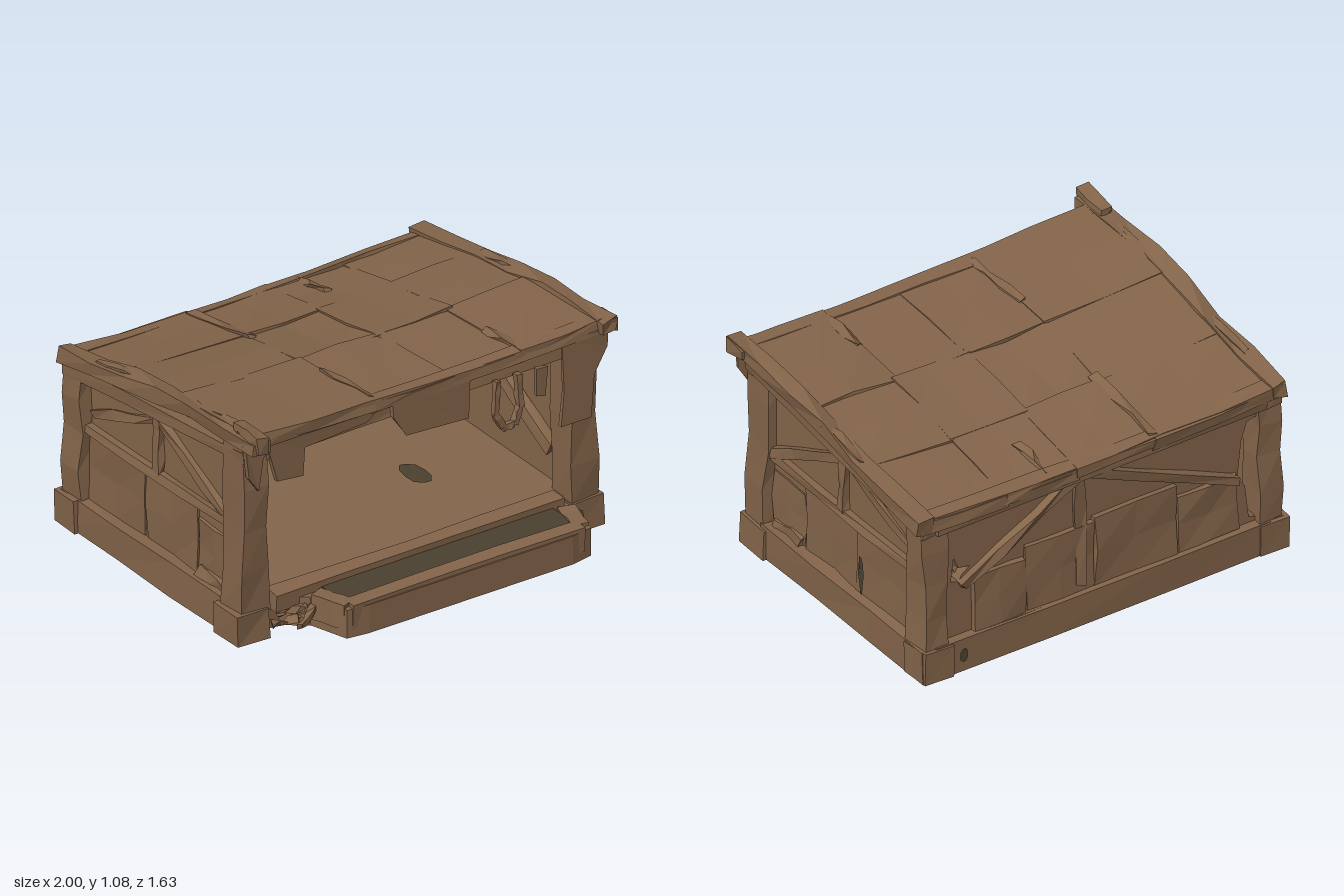
import * as THREE from 'three';

const wood = new THREE.MeshStandardMaterial({ color: 0x84654a });
wood.name = 'worn brown wood';
const moss = new THREE.MeshStandardMaterial({ color: 0x4b4130, side: THREE.DoubleSide });
moss.name = 'dark stain';

const V = (x, y, z) => new THREE.Vector3(x, y, z);

// Repeatable wobble in -1..1, the same for corners at the same place
function wobble(p, k) {
  const s = Math.sin(Math.round(p.x * 500) * 12.99 + Math.round(p.y * 500) * 78.23 + Math.round(p.z * 500) * 37.72 + k * 5.1) * 43758.5;
  return (s - Math.floor(s)) * 2 - 1;
}

// Moves vertices by a rule, roughens them and gives faceted normals
function rough(geo, amount, rule) {
  const pos = geo.attributes.position, p = V(0, 0, 0);
  for (let i = 0; i < pos.count; i++) {
    p.fromBufferAttribute(pos, i);
    if (rule) rule(p);
    const q = p.clone();
    p.set(q.x + wobble(q, 1) * amount, q.y + wobble(q, 2) * amount, q.z + wobble(q, 3) * amount);
    if (p.y < 0.02) p.y = 0;
    pos.setXYZ(i, p.x, p.y, p.z);
  }
  const flat = geo.index ? geo.toNonIndexed() : geo;
  flat.computeVertexNormals();
  return flat;
}

// Height of the roof's top surface, sagging towards the middle
const roofY = (x, z) => 1.005 + (z - 0.1) * (z > 0.1 ? 0.06 : 0.175) - 0.03 * (1 - x * x);

export function createModel() {
  const model = new THREE.Group();
  model.name = 'shelter';

  const add = (name, geo, mat = wood) => {
    const m = new THREE.Mesh(geo, mat);
    m.name = name;
    model.add(m);
    return m;
  };

  // Rough block between two corners
  const block = (name, x0, x1, y0, y1, z0, z1, amount = 0.008, seg = [1, 1, 1], rule) => {
    const g = new THREE.BoxGeometry(x1 - x0, y1 - y0, z1 - z0, ...seg);
    g.translate((x0 + x1) / 2, (y0 + y1) / 2, (z0 + z1) / 2);
    return add(name, rough(g, amount, rule));
  };

  // Rough beam from a to b, w sideways and h upwards
  const beam = (name, a, b, w, h, amount = 0.008) => {
    const dir = b.clone().sub(a), len = dir.length();
    dir.normalize();
    const up = Math.abs(dir.y) > 0.9 ? V(0, 0, 1) : V(0, 1, 0);
    const side = up.clone().cross(dir).normalize();
    const g = new THREE.BoxGeometry(w, h, len, 1, 1, 3);
    g.applyMatrix4(new THREE.Matrix4().makeBasis(side, dir.clone().cross(side), dir));
    g.translate((a.x + b.x) / 2, (a.y + b.y) / 2, (a.z + b.z) / 2);
    return add(name, rough(g, amount));
  };

  const shapeOf = pts => new THREE.Shape(pts.map(p => new THREE.Vector2(...p)));
  const extrude = (pts, depth) => new THREE.ExtrudeGeometry(shapeOf(pts), { depth, bevelEnabled: false });

  // Base, sill rails and post feet
  block('base', -0.95, 0.92, 0, 0.16, -0.79, 0.52, 0.004);
  for (const x of [-0.93, 0.9]) {
    beam('sideSill', V(x, 0.085, 0.45), V(x, 0.085, -0.79), 0.08, 0.16, 0.006);
  }
  beam('backSill', V(-0.9, 0.085, -0.77), V(0.88, 0.085, -0.77), 0.07, 0.16, 0.006);
  for (const [x0, x1] of [[-1, -0.83], [0.78, 0.955]]) {
    block('frontFoot', x0, x1, 0, 0.15, 0.4, 0.59, 0.006);
    block('rearFoot', x0 + 0.01, x1 - 0.01, 0, 0.16, -0.81, -0.66, 0.006);
  }

  // Front step with a raised lip and stained tread
  const stepPts = [[-0.79, -0.48], [-0.62, -0.6], [-0.56, -0.79], [-0.45, -0.805], [0.63, -0.81], [0.74, -0.79], [0.79, -0.6], [0.77, -0.48]];
  add('step', extrude(stepPts, 0.14).rotateX(-Math.PI / 2));
  const lip = [[-0.59, 0.6], [-0.53, 0.76], [0.7, 0.765], [0.74, 0.6]];
  for (let i = 0; i < 3; i++) {
    beam('stepLip', V(lip[i][0], 0.1, lip[i][1]), V(lip[i + 1][0], 0.1, lip[i + 1][1]), 0.08, 0.12, 0.004);
  }
  block('stepBack', -0.78, 0.75, 0.1, 0.185, 0.49, 0.57, 0.006, [4, 1, 1]);
  block('stepTread', -0.54, 0.69, 0.146, 0.154, 0.56, 0.73, 0).material = moss;

  // Splintered wood beside the step
  for (let i = 0; i < 5; i++) {
    const x = -0.78 + i * 0.03;
    beam('splinter', V(x, 0.03 + (i % 3) * 0.035, 0.54), V(x + 0.08, 0.06 + (i % 2) * 0.06, 0.62), 0.025, 0.02, 0.012);
  }
  beam('looseSplinter', V(-0.75, 0.08, 0.71), V(-0.62, 0.1, 0.63), 0.025, 0.025, 0.008);

  // Corner posts, narrower at the top
  for (const s of [-1, 1]) {
    const x = s < 0 ? -0.895 : 0.855;
    block('frontPost', x - 0.075, x + 0.075, 0.14, 0.97, 0.425, 0.58, 0.012, [1, 4, 1],
      p => { p.x += (x - p.x) * (p.y - 0.14) * 0.2; });
    block('rearPost', x + s * 0.012 - 0.062, x + s * 0.012 + 0.062, 0.14, 0.83, -0.79, -0.655, 0.012, [1, 4, 1],
      p => { p.z += (p.y - 0.14) * 0.02; });
  }

  // Side walls with rails, struts and braces
  for (const s of [-1, 1]) {
    const X = d => s * d - 0.015;
    const wall = extrude([[-0.47, 0.14], [0.72, 0.14], [0.72, 0.8], [-0.1, 0.935], [-0.47, 0.95]], 0.05);
    add('sideWall', wall.rotateY(Math.PI / 2).translate(X(0.868) - 0.025, 0, 0));
    const panels = [[0.18, 0.42, 0.44], [-0.21, 0.17, 0.5], [-0.64, -0.22, 0.51]];
    panels.forEach(([z0, z1, top], i) => {
      const a = X(0.86), b = X(0.9 + i * 0.004);
      block('lowerPanel', Math.min(a, b), Math.max(a, b), 0.16, top, z0, z1, 0.01, [1, 2, 2]);
    });
    beam('middleRail', V(X(0.9), 0.525, 0.42), V(X(0.9), 0.52, -0.66), 0.06, 0.04);
    beam('strut', V(X(0.9), 0.53, -0.12), V(X(0.9), 0.85, -0.12), 0.045, 0.05);
    beam('frontBrace', V(X(0.9), 0.54, 0.42), V(X(0.9), 0.79, -0.1), 0.05, 0.05);
    beam('rearBrace', V(X(0.887), 0.78, -0.14), V(X(0.887), 0.6, -0.62), 0.04, 0.04);
    beam('innerBrace', V(X(0.82), 0.34, 0.4), V(X(0.82), 0.72, -0.3), 0.05, 0.06);
    beam('topRail', V(X(0.91), 0.925, 0.58), V(X(0.91), 0.77, -0.78), 0.08, 0.06);
    beam('lowerTimber', V(X(0.9), 0.18, 0.4), V(X(0.9), 0.19, 0.2), 0.05, 0.05, 0.014);
  }

  // Back wall with a broken left edge and a chipped hole
  const backShape = shapeOf([[-0.88, 0.14], [0.86, 0.14], [0.86, 0.82], [-0.88, 0.82], [-0.88, 0.71], [-0.8, 0.69], [-0.77, 0.6], [-0.75, 0.42], [-0.79, 0.36], [-0.81, 0.19], [-0.88, 0.17]]);
  backShape.holes.push(new THREE.Path([[0.67, 0.5], [0.73, 0.51], [0.755, 0.57], [0.77, 0.45], [0.73, 0.44], [0.71, 0.47]].map(p => new THREE.Vector2(...p))));
  const back = new THREE.ExtrudeGeometry(backShape, { depth: 0.055, bevelEnabled: false });
  add('backWall', back.translate(0, 0, -0.755));
  [[-0.74, -0.42, 0.45], [-0.41, 0.02, 0.52], [0.03, 0.38, 0.5], [0.39, 0.66, 0.44]].forEach(([x0, x1, top], i) =>
    block('backPanel', x0, x1, 0.16, top, -0.775 - (i % 2) * 0.008, -0.74, 0.008, [2, 2, 1]));
  for (const z of [-0.77, -0.69]) {
    const out = z < -0.7;
    beam('backStrut', V(0.1, 0.2, z), V(0.1, 0.8, z), out ? 0.05 : 0.03, 0.035, 0.012);
    beam('backBraceLeft', V(-0.74, out ? 0.42 : 0.36, z), V(out ? 0.05 : -0.54, out ? 0.76 : 0.58, z), 0.035, 0.045);
    beam('backBraceRight', V(0.12, out ? 0.76 : 0.7, z), V(0.72, out ? 0.42 : 0.47, z), 0.035, 0.045);
    beam('backTopRail', V(-0.88, 0.77, z), V(0.86, 0.77, z), 0.045, 0.06);
  }

  // Stains: back wall, floor, side wall, step end and back sill
  const stain = (name, w, h, turn, x, y, z) =>
    add(name, rough(new THREE.CircleGeometry(1, 10).scale(w, h, 1), 0.004, p => {
      p.applyEuler(turn).add(V(x, y, z));
    }), moss);
  const facing = new THREE.Euler(0, 0, 0), sideways = new THREE.Euler(0, Math.PI / 2, 0);
  for (const [x, y, w, h] of [[-0.53, 0.315, 0.04, 0.04], [-0.55, 0.265, 0.03, 0.025], [-0.12, 0.312, 0.05, 0.018], [0.4, 0.225, 0.045, 0.035], [0.58, 0.28, 0.065, 0.05], [0.66, 0.24, 0.075, 0.055]]) {
    stain('wallStain', w, h, facing, x, y, -0.692);
  }
  stain('floorStain', 0.055, 0.1, new THREE.Euler(-Math.PI / 2, 0, 0), 0.36, 0.172, 0);
  stain('sideStain', 0.018, 0.1, sideways, 0.906, 0.27, -0.265);
  stain('stepStain', 0.025, 0.045, sideways, 0.798, 0.09, 0.63);
  stain('sillStain', 0.02, 0.035, facing, 0.74, 0.09, -0.814);

  // Roof: overlapping slabs that follow the slope, ragged at the edges
  const cols = [-0.94, -0.29, 0.12, 0.5, 0.95], rows = [-0.79, -0.38, 0.05, 0.6];
  for (let c = 0; c < 4; c++) {
    for (let r = 0; r < 3; r++) {
      const lift = ((c * 2 + r) % 3) * 0.005;
      block('roofSlab', cols[c] - 0.01, cols[c + 1] + 0.01, -0.05, 0, rows[r] - 0.01, rows[r + 1] + 0.015, 0.008, [2, 1, 2],
        p => { p.y += roofY(p.x, p.z) + lift - 0.006; });
    }
  }
  for (const [x0, x1, z1] of [[-0.98, -0.9, 0.68], [0.9, 0.98, 0.65]]) {
    block('roofEdge', x0, x1, -0.055, 0.012, -0.8, z1, 0.013, [1, 1, 6], p => { p.y += roofY(p.x, p.z); });
  }
  block('roofFrontEdge', -0.96, 0.96, -0.055, 0.004, 0.54, 0.62, 0.01, [6, 1, 1], p => { p.y += roofY(p.x, p.z); });
  block('roofBackEdge', -0.96, 0.96, -0.06, 0.004, -0.795, -0.73, 0.01, [6, 1, 1], p => { p.y += roofY(p.x, p.z); });
  block('cornerKnot', -0.97, -0.9, 1.0, 1.07, 0.5, 0.71, 0.014, [1, 1, 2]);
  block('cornerKnot', 0.92, 0.99, 0.98, 1.035, 0.52, 0.65, 0.012);

  // Ceiling that drops towards the back wall
  block('ceiling', -0.84, 0.82, -0.1, 0, -0.7, 0.5, 0.004, [2, 1, 3],
    p => { p.y = p.y < -0.05 ? 0.9 + (p.z - 0.5) * 0.133 : roofY(p.x, p.z) - 0.05; });

  // Raised splinters along the roof seams
  for (const [x, z, l] of [[-0.29, -0.55, 0.45], [-0.28, 0.4, 0.36], [0.26, -0.65, 0.22], [0.5, 0.45, 0.24], [-0.94, -0.4, 0.3], [-0.92, 0.2, 0.3], [0.95, -0.2, 0.3]]) {
    beam('seamSplinter', V(x, roofY(x, z - l / 2) - 0.005, z - l / 2), V(x + 0.01, roofY(x, z + l / 2) - 0.005, z + l / 2), 0.035, 0.025, 0.012);
  }

  // Front header beam with hanging scraps
  beam('header', V(-0.93, 0.925, 0.53), V(0.92, 0.925, 0.53), 0.08, 0.09, 0.008);
  const scraps = [
    [[-0.2, 1.005], [-0.19, 0.9], [-0.12, 0.79], [0.21, 0.775], [0.22, 1.005]],
    [[0.71, 0.99], [0.72, 0.74], [0.7, 0.57], [0.86, 0.575], [0.88, 0.78], [0.95, 0.9], [0.95, 0.99]],
    [[0.57, 0.9], [0.57, 0.77], [0.62, 0.76], [0.63, 0.9]],
    [[-0.84, 0.96], [-0.78, 0.75], [-0.64, 0.745], [-0.63, 0.88], [-0.3, 0.9], [-0.22, 0.97]],
    [[-0.98, 1.0], [-0.96, 0.84], [-0.9, 0.76], [-0.88, 0.92], [-0.82, 1.0]],
  ];
  scraps.forEach((pts, i) => add('hangingScrap', rough(extrude(pts, 0.02).translate(0, 0, i === 3 ? 0.56 : 0.6), 0.005)));

  // Hanging loop
  const loop = [[0.37, 0.9], [0.36, 0.74], [0.4, 0.66], [0.46, 0.66], [0.495, 0.74], [0.48, 0.9]];
  for (let i = 0; i < 5; i++) {
    beam('hangingLoop', V(...loop[i], 0.6), V(...loop[i + 1], 0.6), 0.025, 0.03, 0.004);
  }
  return model;
}
